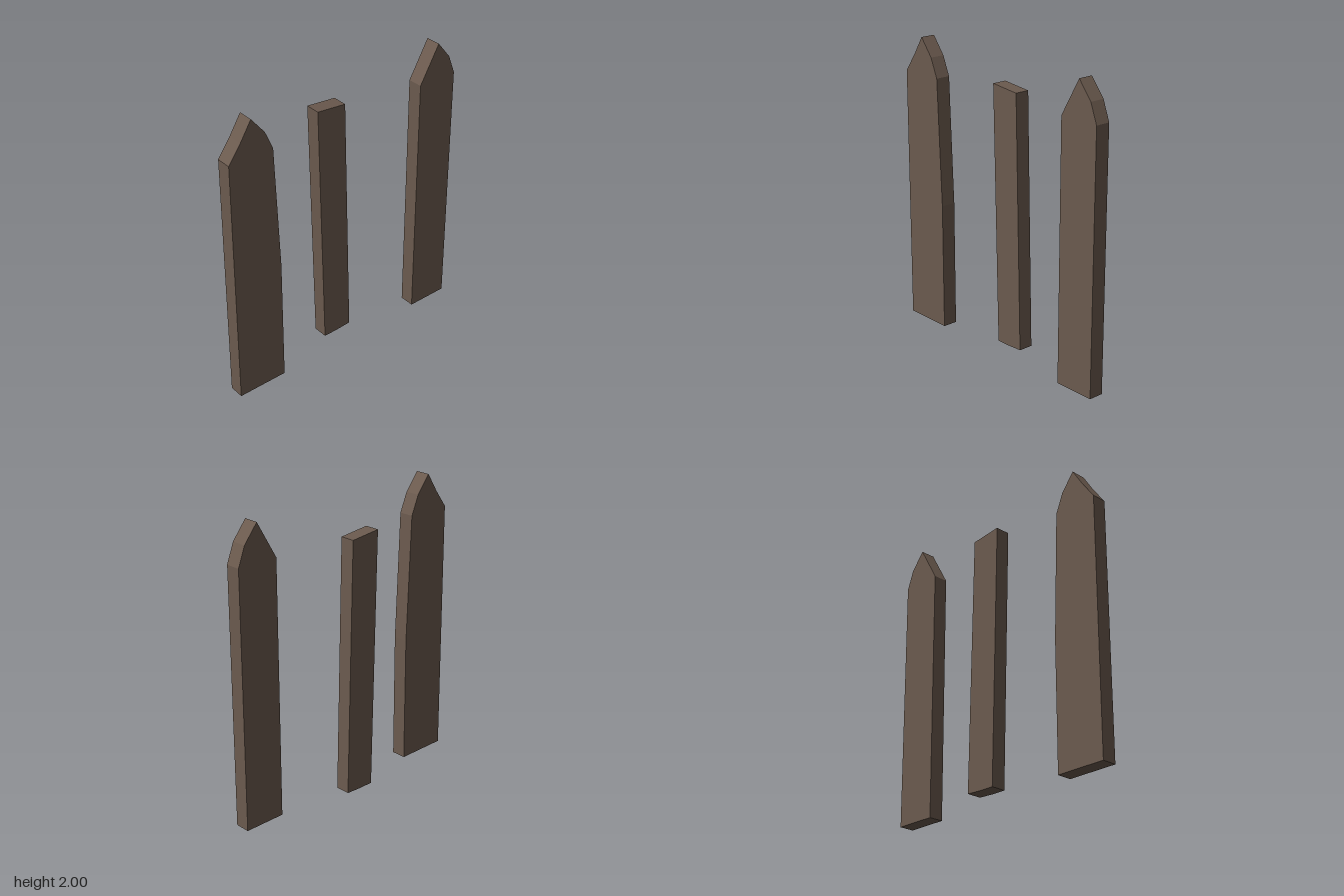
import * as THREE from 'three';

const wood = new THREE.MeshStandardMaterial({ color: 0x6b5a4e, flatShading: true });

// Plank cut from a (z, y) outline, filling x from xMin to xMax
function plank(name, outline, xMin, xMax) {
  const shape = new THREE.Shape(outline.map(([z, y]) => new THREE.Vector2(z, y)));
  const geometry = new THREE.ExtrudeGeometry(shape, { depth: xMax - xMin, bevelEnabled: false });
  geometry.rotateY(-Math.PI / 2);
  geometry.translate(xMax, 0, 0);
  const mesh = new THREE.Mesh(geometry, wood);
  mesh.name = name;
  return mesh;
}

export function createModel() {
  const group = new THREE.Group();
  group.name = 'fencePlanks';

  // Wide pointed picket, its inner edge tapering above mid height
  group.add(plank('frontPicket', [
    [0.535, 0], [0.888, 0], [0.888, 1.75], [0.8, 1.872], [0.72, 2],
    [0.625, 1.88], [0.57, 1.75], [0.535, 0.88],
  ], 0.003, 0.106));

  // Narrower pointed picket with straight sides
  group.add(plank('backPicket', [
    [-0.885, 0], [-0.595, 0], [-0.595, 1.75], [-0.738, 2],
    [-0.835, 1.88], [-0.885, 1.75],
  ], 0.003, 0.106));

  // Leaning flat-topped plank, set on the other side
  group.add(plank('leaningPlank', [
    [-0.117, 0.016], [0, 0.01], [0.098, 0.01], [0.143, 1.782], [-0.072, 1.76],
  ], -0.11, -0.008));

  return group;
}
